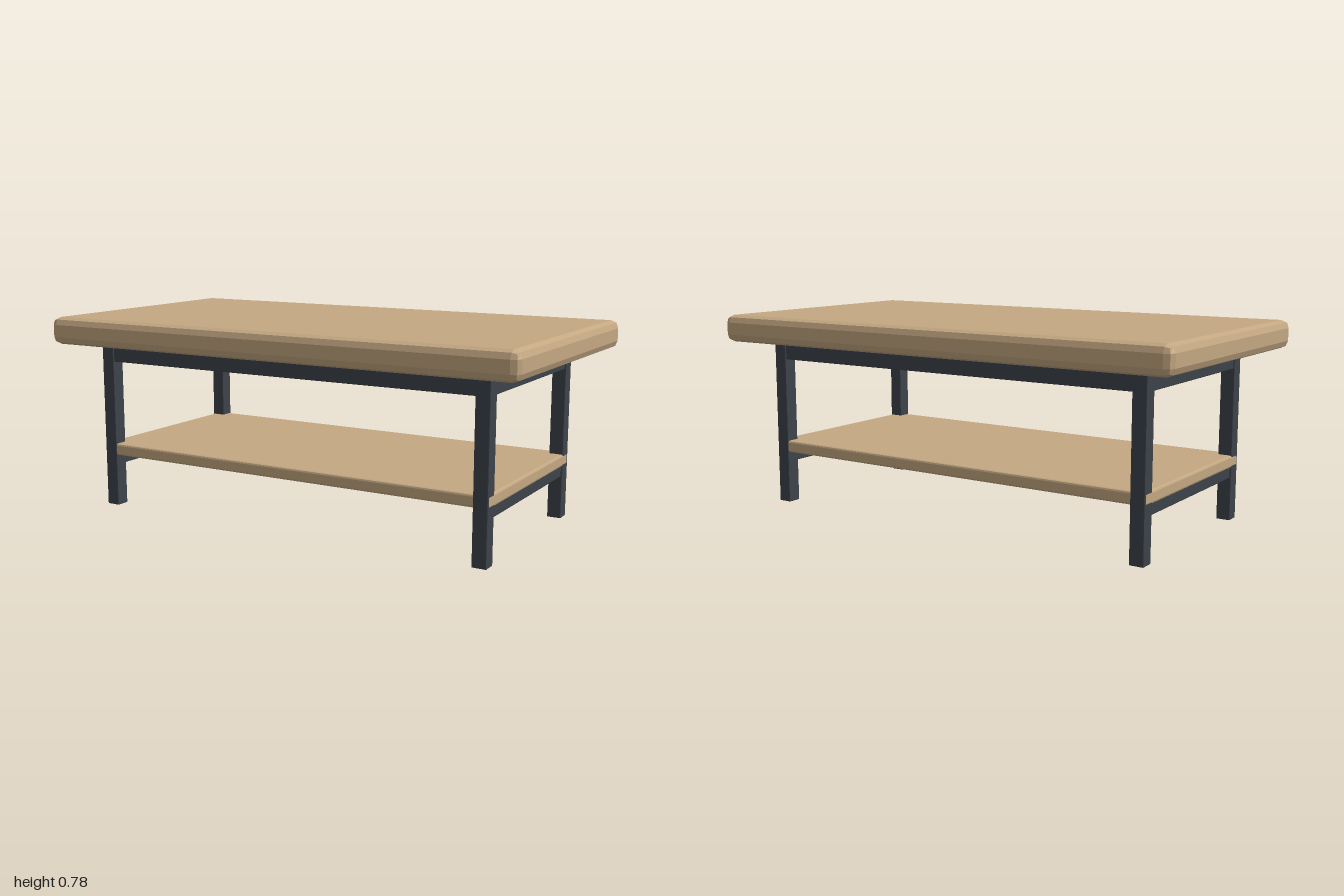
import * as THREE from 'three';
import { RoundedBoxGeometry } from 'three/addons/geometries/RoundedBoxGeometry.js';

export function createModel() {
  const table = new THREE.Group();
  table.name = 'coffeeTable';

  const wood = new THREE.MeshStandardMaterial({ color: 0xc4a882, flatShading: true });
  wood.name = 'light wood';
  const metal = new THREE.MeshStandardMaterial({ color: 0x3c434a, flatShading: true });
  metal.name = 'dark metal';

  // Box with softened edges, centred on (x, z) and spanning y0 to y1
  function block(name, material, width, depth, y0, y1, x, z, radius) {
    const geometry = new RoundedBoxGeometry(width, y1 - y0, depth, 1, radius);
    const mesh = new THREE.Mesh(geometry, material);
    mesh.name = name;
    mesh.position.set(x, (y0 + y1) / 2, z);
    table.add(mesh);
  }

  const legSize = 0.056;
  const legX = 0.823;
  const legZ = 0.372;
  const topBottom = 0.674;

  // Thick table top and lower shelf
  block('tableTop', wood, 2, 1.07, topBottom, 0.783, 0, 0, 0.03);
  block('shelf', wood, 1.703, 0.796, 0.212, 0.26, 0, 0, 0.008);

  // Four square legs
  for (const x of [-1, 1]) {
    for (const z of [-1, 1]) {
      block('leg', metal, legSize, legSize, 0, topBottom + 0.003, x * legX, z * legZ, 0.003);
    }
  }

  // Upper frame and lower shelf supports
  for (const side of [-1, 1]) {
    block('longRail', metal, 2 * legX - legSize + 0.01, 0.045, 0.6, 0.67, 0, side * legZ, 0.003);
    block('shortRail', metal, 0.045, 2 * legZ - legSize + 0.01, 0.6, 0.67, side * legX, 0, 0.003);
    block('shelfRail', metal, 0.045, 2 * legZ - legSize + 0.01, 0.17, 0.216, side * legX, 0, 0.003);
  }

  return table;
}
